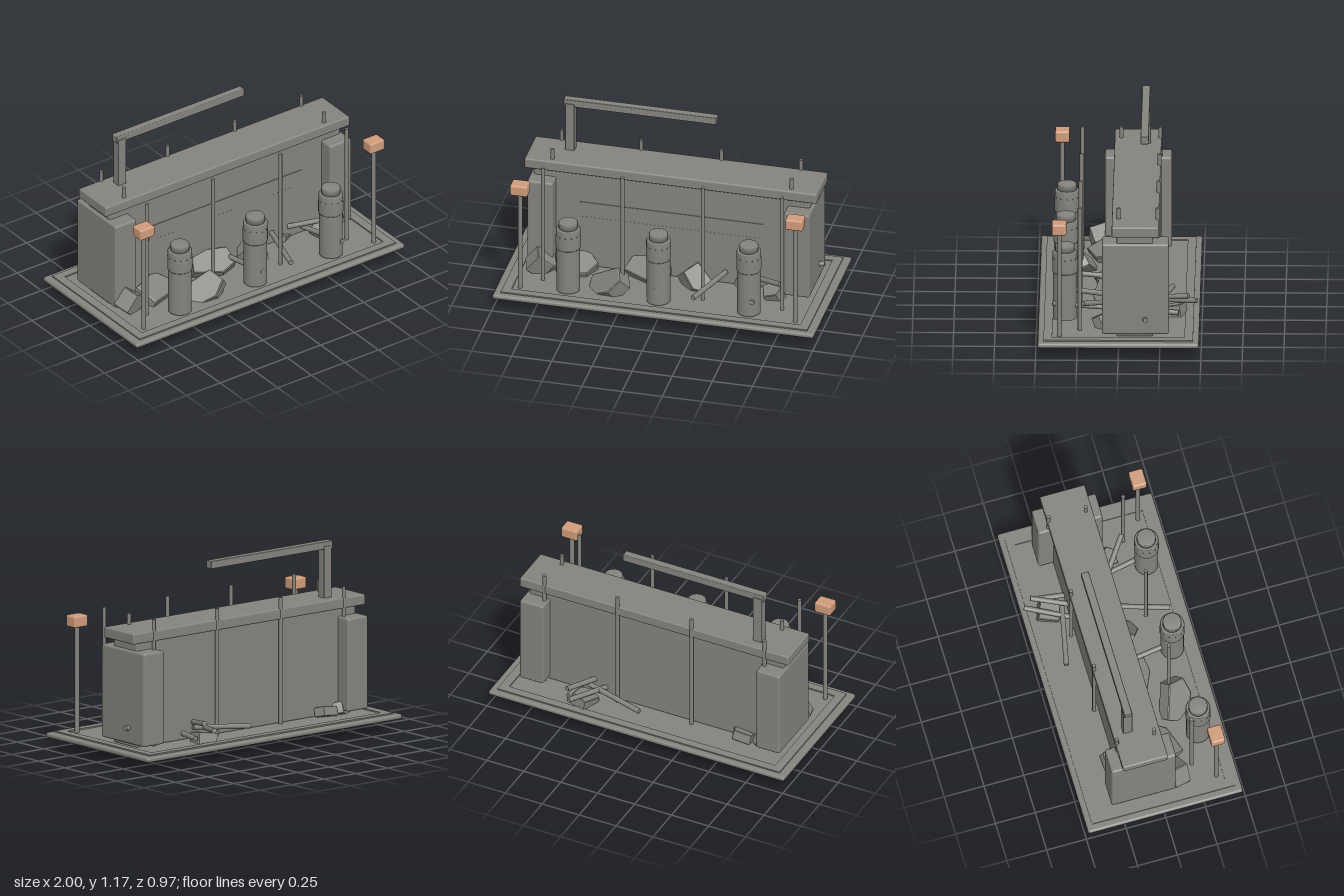
import * as THREE from 'three';
import { RoundedBoxGeometry } from 'three/addons/geometries/RoundedBoxGeometry.js';

export function createModel() {
  const group = new THREE.Group();
  const concrete = new THREE.MeshStandardMaterial({ color: 0x85837e });
  concrete.name = 'concrete grey';
  const copper = new THREE.MeshStandardMaterial({ color: 0xd09c7b });
  copper.name = 'lamp copper';
  const stone = new THREE.MeshStandardMaterial({ color: 0x85837e, flatShading: true });
  stone.name = 'rubble grey';

  const add = (name, geometry, material = concrete) => {
    const mesh = new THREE.Mesh(geometry, material);
    mesh.name = name;
    group.add(mesh);
    return mesh;
  };
  // Rounded box given by its limits on each axis
  const block = (name, [x0, x1], [y0, y1], [z0, z1], r, material) => {
    const mesh = add(name, new RoundedBoxGeometry(x1 - x0, y1 - y0, z1 - z0, 2, r), material);
    mesh.position.set((x0 + x1) / 2, (y0 + y1) / 2, (z0 + z1) / 2);
    return mesh;
  };
  const cylinder = (name, r, y0, y1, x, z, sides = 32) => {
    const mesh = add(name, new THREE.CylinderGeometry(r, r, y1 - y0, sides));
    mesh.position.set(x, (y0 + y1) / 2, z);
    return mesh;
  };
  // Straight rod between two points
  const rod = (name, a, b, r) => {
    const from = new THREE.Vector3(...a), to = new THREE.Vector3(...b);
    const dir = to.clone().sub(from);
    const mesh = add(name, new THREE.CylinderGeometry(r, r, dir.length(), 12));
    mesh.position.copy(from).add(to).multiplyScalar(0.5);
    mesh.quaternion.setFromUnitVectors(new THREE.Vector3(0, 1, 0), dir.normalize());
  };

  // Base slab with a low raised frame
  block('baseSlab', [-1, 1], [0.084, 0.116], [-0.487, 0.487], 0.014);
  const rect = (shape, w, d) => shape.moveTo(-w, -d).lineTo(w, -d).lineTo(w, d).lineTo(-w, d).closePath();
  const frame = rect(new THREE.Shape(), 0.955, 0.452);
  frame.holes.push(rect(new THREE.Path(), 0.9, 0.4));
  const frameMesh = add('baseFrame', new THREE.ExtrudeGeometry(frame, { depth: 0.01, bevelEnabled: false }));
  frameMesh.rotation.x = -Math.PI / 2;
  frameMesh.position.y = 0.114;

  // Wall, front panel, end pillars and cap
  block('wall', [-0.86, 0.86], [0.115, 0.77], [-0.21, 0.01], 0.01);
  block('wallPanel', [-0.57, 0.57], [0.46, 0.56], [0.005, 0.014], 0.002);
  for (const s of [-1, 1]) block('endPillar', [s * 0.8 - 0.08, s * 0.8 + 0.08], [0.135, 0.712], [-0.305, 0.1], 0.014);
  block('wallCap', [-0.91, 0.91], [0.763, 0.83], [-0.243, 0.04], 0.01);

  // Overhead arm
  block('armPost', [-0.697, -0.638], [0.82, 1.15], [-0.18, -0.123], 0.004);
  block('armBeam', [-0.708, 0.245], [1.13, 1.178], [-0.176, -0.127], 0.005);

  // Upright reinforcing rods
  for (const x of [-0.745, -0.25, 0.25, 0.745]) {
    for (const z of [-0.235, 0.235]) cylinder('uprightRod', 0.012, 0.115, 0.898, x, z, 12);
  }
  for (const x of [-0.745, 0.745]) cylinder('uprightRod', 0.012, 0.7, 0.898, x, 0, 12);

  // Lamps on thin posts
  for (const x of [-0.857, 0.857]) {
    cylinder('lampPost', 0.014, 0.115, 0.79, x, 0.358, 16);
    block('lamp', [x - 0.054, x + 0.054], [0.773, 0.845], [0.314, 0.402], 0.012, copper);
  }

  // Canisters with collar, cap and rivets
  for (const x of [-0.565, -0.003, 0.56]) {
    const z = 0.327;
    cylinder('canisterBody', 0.0715, 0.132, 0.44, x, z);
    const profile = [[0, 0.425], [0.074, 0.425], [0.076, 0.43], [0.076, 0.505], [0.074, 0.51],
      [0.074, 0.553], [0.069, 0.56], [0, 0.56]].map(p => new THREE.Vector2(...p));
    const collar = add('canisterCollar', new THREE.LatheGeometry(profile, 32));
    collar.position.set(x, 0, z);
    const lid = [[0, 0.55], [0.058, 0.55], [0.058, 0.594], [0.053, 0.601], [0, 0.601]];
    add('canisterCap', new THREE.LatheGeometry(lid.map(p => new THREE.Vector2(...p)), 32)).position.set(x, 0, z);
    for (let i = 0; i < 12; i++) {
      const a = i * Math.PI / 6;
      add('rivet', new THREE.SphereGeometry(0.004, 6, 4))
        .position.set(x + 0.074 * Math.sin(a), 0.517, z + 0.074 * Math.cos(a));
    }
  }

  // Broken stone slabs: position, size, rotation
  const outline = [[-0.5, -0.3], [0.15, -0.5], [0.5, -0.2], [0.4, 0.4], [-0.4, 0.5]];
  const slab = new THREE.ExtrudeGeometry(new THREE.Shape(outline.map(p => new THREE.Vector2(...p))),
    { depth: 0.9, bevelThickness: 0.05, bevelSize: 0.03, bevelOffset: -0.03, bevelSegments: 1 });
  slab.translate(0, 0, -0.45).rotateX(-Math.PI / 2);
  const rocks = [
    [[-0.78, 0.16, 0.12], [0.17, 0.13, 0.13], [0.35, 0.4, -0.75]],
    [[-0.58, 0.14, 0.08], [0.26, 0.1, 0.19], [0.5, 0.5, -0.2]],
    [[-0.33, 0.14, 0.25], [0.27, 0.1, 0.18], [0.5, 0.1, 0.6]],
    [[-0.13, 0.16, 0.05], [0.28, 0.1, 0.18], [0.6, -0.2, 0.15]],
    [[0.16, 0.145, 0.07], [0.18, 0.11, 0.15], [0.4, -0.5, -0.6]],
    [[0.25, 0.1, -0.06], [0.18, 0.08, 0.14], [0.3, 0.3, 0.4]],
    [[0.43, 0.13, -0.32], [0.14, 0.08, 0.16], [0.2, -0.2, 0.2]],
    [[0.44, 0.1, -0.04], [0.16, 0.1, 0.14], [0.4, 0.7, -0.5]],
    [[0.08, 0.1, -0.12], [0.15, 0.08, 0.13], [0.3, 0.2, -0.4]],
    [[-0.52, 0.11, -0.13], [0.2, 0.08, 0.15], [0.4, 0.3, 0.4]],
    [[-0.74, 0.11, -0.19], [0.18, 0.08, 0.14], [0.4, 0.6, 0.3]],
    [[-0.6, 0.14, -0.23], [0.14, 0.06, 0.11], [0.3, 0.2, 0.1]],
    [[0.66, 0.14, 0.1], [0.12, 0.09, 0.12], [0.3, 0.4, 0.3]],
  ];
  for (const [position, size, rotation] of rocks) {
    const rock = add('brokenSlab', slab, stone);
    rock.position.set(...position);
    rock.scale.set(...size);
    rock.rotation.set(...rotation);
  }

  // Scattered bent-free bars among the rubble
  const bars = [
    [[0.06, 0.16, -0.32], [0.44, 0.19, -0.24]],
    [[0.465, 0.21, -0.47], [0.32, 0.17, -0.16]],
    [[0.5, 0.25, -0.42], [0.38, 0.2, -0.12]],
    [[0.52, 0.15, -0.36], [0.48, 0.16, -0.1]],
    [[0.34, 0.2, 0.02], [0.225, 0.205, 0.38]],
    [[0.46, 0.2, 0.02], [0.73, 0.28, 0.22]],
    [[0.54, 0.19, 0.05], [0.595, 0.235, 0.4]],
    [[-0.03, 0.19, 0.05], [0.005, 0.235, 0.4]],
    [[0.5, 0.2, -0.1], [0.912, 0.235, -0.165]],
  ];
  for (const [a, b] of bars) rod('looseBar', a, b, 0.016);

  return group;
}
